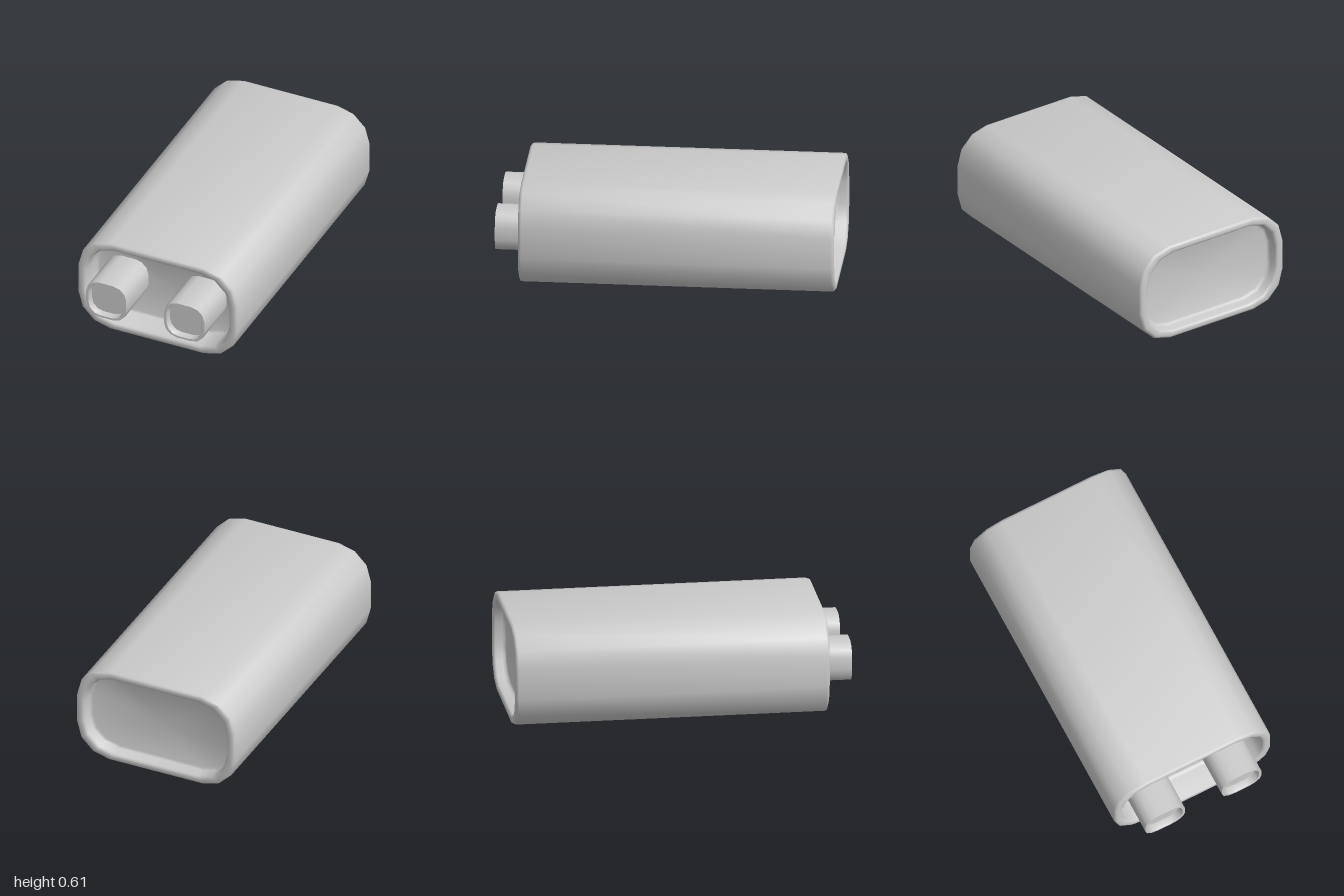
import * as THREE from 'three';
import { toCreasedNormals } from 'three/addons/utils/BufferGeometryUtils.js';

const material = new THREE.MeshStandardMaterial({ color: 0xcccccc });
const STEPS = 3; // segments per rounded corner
const COUNT = 4 * (STEPS + 1);

// Rounded rectangle, counter-clockwise: half width, half height, corner radius
function roundedRing([w, h, r], z) {
  const points = [];
  for (let corner = 0; corner < 4; corner++) {
    const sx = corner === 0 || corner === 3 ? 1 : -1;
    const sy = corner < 2 ? 1 : -1;
    for (let s = 0; s <= STEPS; s++) {
      const a = (corner + s / STEPS) * Math.PI / 2;
      points.push([sx * (w - r) + r * Math.cos(a), sy * (h - r) + r * Math.sin(a), z]);
    }
  }
  return points;
}

// Skin through [t, z] stations; t runs from the outer outline (0) to the inner one (1).
// Both ends are closed with a flat fan.
function skin(outer, inner, stations) {
  const rings = stations.map(([t, z]) =>
    roundedRing(outer.map((v, k) => v + (inner[k] - v) * t), z));
  const positions = rings.flat(2);
  const index = [];
  const last = (rings.length - 1) * COUNT;
  const startCentre = rings.length * COUNT;
  positions.push(0, 0, stations[0][1], 0, 0, stations[stations.length - 1][1]);
  for (let j = 0; j < COUNT; j++) {
    const k = (j + 1) % COUNT;
    for (let i = 0; i < last; i += COUNT) {
      index.push(i + j, i + k, i + COUNT + k, i + j, i + COUNT + k, i + COUNT + j);
    }
    index.push(startCentre, k, j, startCentre + 1, last + j, last + k);
  }
  const geometry = new THREE.BufferGeometry();
  geometry.setAttribute('position', new THREE.Float32BufferAttribute(positions, 3));
  geometry.setIndex(index);
  return toCreasedNormals(geometry, 0.9);
}

// Recess seen from its floor out to the outer wall: rim at z, floor `depth` behind it
function recess(z, depth, dir) {
  const floor = z - dir * depth;
  return [
    [1.4, floor], [1.12, floor + dir * 0.006], [1, floor + dir * 0.025],
    [1, z - dir * 0.015], [0.9, z - dir * 0.004], [0.7, z],
    [0.3, z], [0.09, z - dir * 0.005], [0, z - dir * 0.018],
  ];
}

export function createModel() {
  const group = new THREE.Group();
  const add = (name, geometry, x) => {
    const mesh = new THREE.Mesh(geometry, material);
    mesh.name = name;
    mesh.position.set(x, 0.306, 0);
    group.add(mesh);
  };

  // Long housing with a rimmed recess at each end
  const front = 0.853, frontDepth = 0.16;
  add('housing', skin([0.513, 0.303, 0.21], [0.46, 0.257, 0.188], [
    ...recess(-1, 0.08, -1),
    ...recess(front, frontDepth, 1).reverse(),
  ]), 0);

  // Two hollow-ended terminals standing on the front recess floor
  const terminal = skin([0.13, 0.121, 0.085], [0.111, 0.107, 0.075], [
    [0, front - frontDepth - 0.01], [0, 1], [0.85, 1], [1, 0.996], [1, 0.955],
  ]);
  add('leftTerminal', terminal, 0.243);
  add('rightTerminal', terminal, -0.26);

  return group;
}
